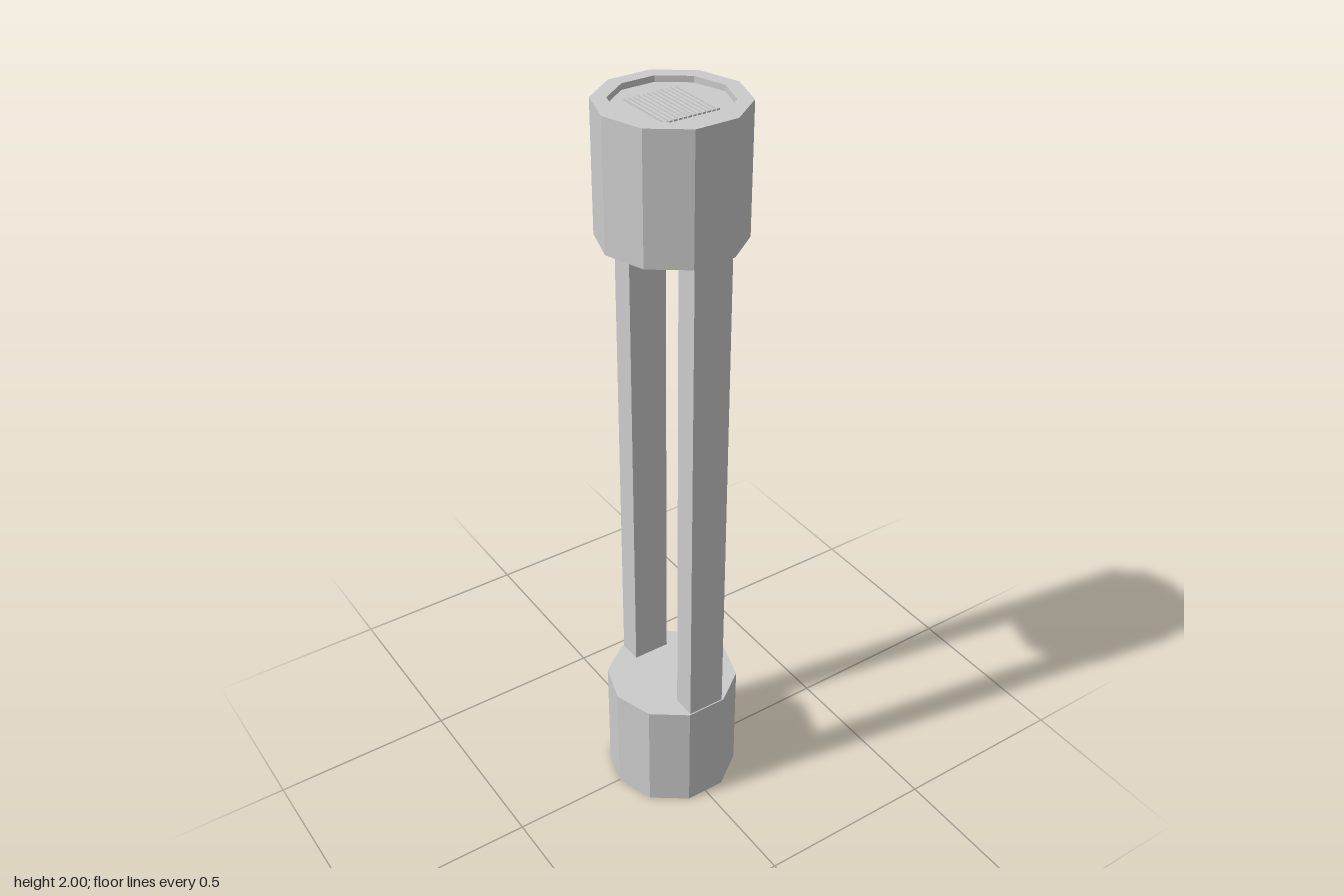
import * as THREE from 'three';

const material = new THREE.MeshStandardMaterial({ color: 0xcccccc, flatShading: true });

function add(parent, name, geometry, x = 0, y = 0, z = 0) {
  const mesh = new THREE.Mesh(geometry, material);
  mesh.name = name;
  mesh.position.set(x, y, z);
  parent.add(mesh);
}

// Ten-sided solid turned from a profile, with corners on the x axis
function decagon(points) {
  const profile = points.map(([r, y]) => new THREE.Vector2(r, y));
  return new THREE.LatheGeometry(profile, 10, Math.PI / 2);
}

export function createModel() {
  const model = new THREE.Group();
  model.name = 'handleFrame';

  const radius = 0.18, capHeight = 0.326;
  const rimRadius = 0.142, recess = 0.015;

  // Plain solid base
  add(model, 'bottomCap', decagon([[0, 0], [radius, 0], [radius, capHeight], [0, capHeight]]));

  // Upper cap with a shallow recess inside its rim
  add(model, 'topCap', decagon([
    [0, 0], [radius, 0], [radius, capHeight],
    [rimRadius, capHeight], [rimRadius, capHeight - recess], [0, capHeight - recess],
  ]), 0, 2 - capHeight, 0);

  // Front and back rails joining the caps
  const railDepth = 0.064, railLength = 2 - 2 * capHeight + 0.02;
  for (const side of [1, -1]) {
    add(model, side > 0 ? 'frontRail' : 'backRail',
      new THREE.BoxGeometry(0.104, railLength, railDepth),
      0, 1, side * (0.168 - railDepth / 2));
  }

  // Grille of narrow bars on the recess floor
  const grille = new THREE.Group();
  grille.name = 'grille';
  grille.position.set(-0.001, 2 - recess, 0);
  model.add(grille);
  const bars = 12, pitch = 0.0123, barHeight = 0.008;
  const barGeometry = new THREE.BoxGeometry(0.0085, barHeight, 0.162);
  for (let i = 0; i < bars; i++) {
    add(grille, 'grilleBar', barGeometry, (i - (bars - 1) / 2) * pitch, 0, 0);
  }

  return model;
}
